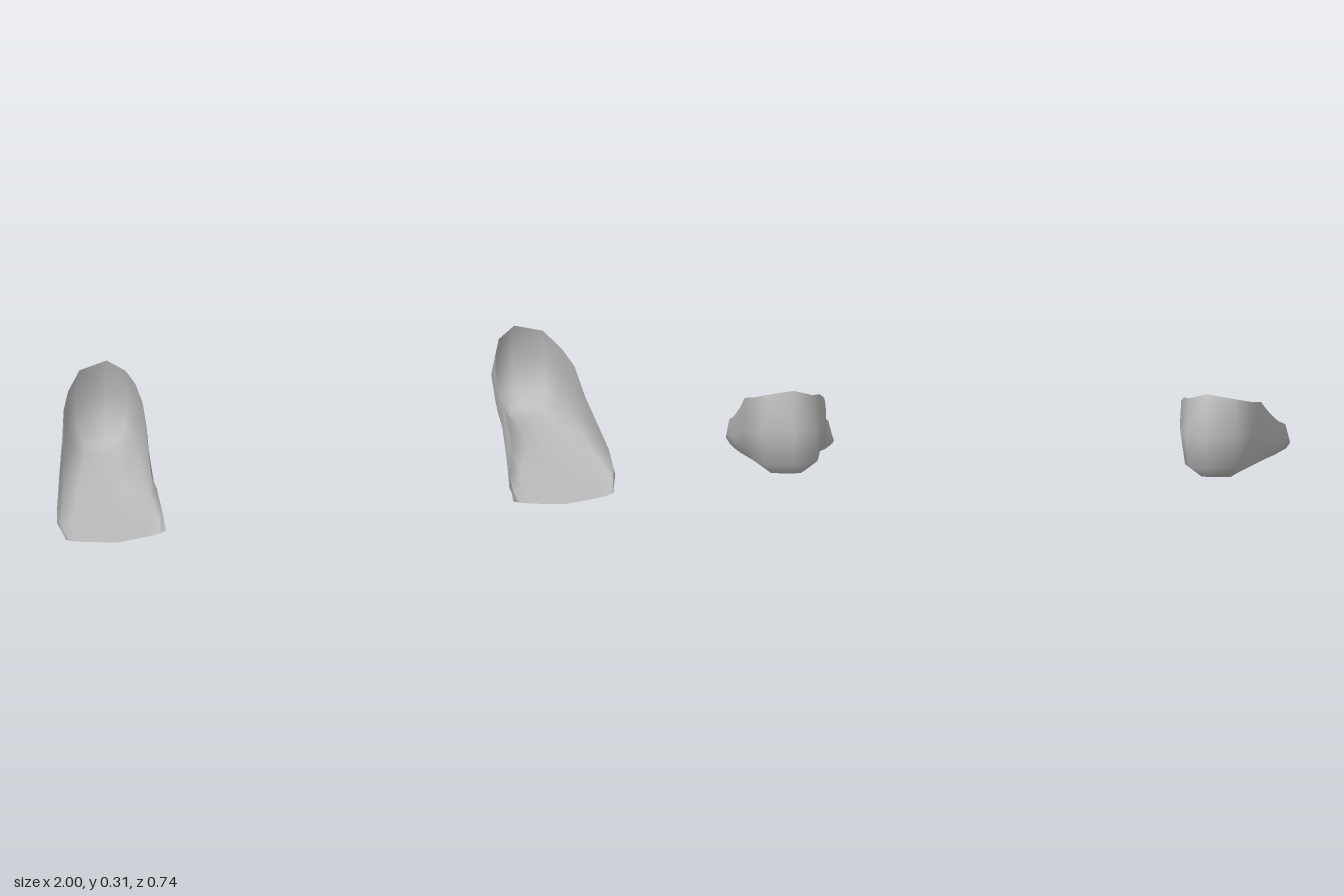
import * as THREE from 'three';

// Stations around the left shell, from inner front, around the heel, to outer front:
// rim x, y, z, | side wall x, y, z, | sole edge x, z
const STATIONS = [
  [0.62, 0.006, 0.33, 0.63, 0.004, 0.33, 0.69, 0.345],
  [0.625, 0.05, 0.245, 0.62, 0.015, 0.25, 0.67, 0.25],
  [0.635, 0.105, 0.2, 0.625, 0.04, 0.19, 0.67, 0.19],
  [0.645, 0.12, 0.14, 0.63, 0.06, 0.12, 0.68, 0.12],
  [0.64, 0.185, 0.02, 0.632, 0.12, 0.01, 0.72, 0.01],
  [0.632, 0.205, -0.05, 0.628, 0.13, -0.06, 0.73, -0.07],
  [0.632, 0.247, -0.14, 0.628, 0.16, -0.15, 0.72, -0.15],
  [0.645, 0.275, -0.22, 0.635, 0.16, -0.26, 0.7, -0.23],
  [0.668, 0.285, -0.295, 0.655, 0.16, -0.325, 0.71, -0.27],
  [0.73, 0.308, -0.338, 0.725, 0.165, -0.372, 0.745, -0.285],
  [0.83, 0.288, -0.32, 0.842, 0.16, -0.345, 0.815, -0.275],
  [0.885, 0.262, -0.23, 0.888, 0.14, -0.25, 0.83, -0.21],
  [0.915, 0.245, -0.14, 0.918, 0.13, -0.15, 0.85, -0.14],
  [0.935, 0.19, -0.02, 0.947, 0.09, -0.02, 0.88, -0.02],
  [0.965, 0.135, 0.09, 0.97, 0.06, 0.09, 0.91, 0.1],
  [0.985, 0.105, 0.2, 0.996, 0.05, 0.22, 0.94, 0.2],
  [0.995, 0.05, 0.245, 1.0, 0.03, 0.25, 0.94, 0.25],
  [0.98, 0.006, 0.33, 0.975, 0.004, 0.33, 0.92, 0.345],
];
const LEVELS = 5;

// Open scoop: each station runs from rim, down the wall, round the corner to the sole's centre line
function shellGeometry(side) {
  const positions = [];
  const index = [];
  STATIONS.forEach(([rx, ry, rz, wx, wy, wz, sx, sz], i) => {
    const atFront = i === 0 || i === STATIONS.length - 1;
    const cz = atFront ? 0.372 : Math.max(sz, -0.2);
    const cy = atFront ? 0.004 : 0;
    const corner = [0.75 * wx + 0.25 * sx, 0.25 * wy, 0.75 * wz + 0.25 * sz];
    const column = [[rx, ry, rz], [wx, wy, wz], corner, [sx, 0, sz], [0.785 + 0.04 * cz, cy, cz]];
    for (const [x, y, z] of column) positions.push(side * x, y, z);
  });
  for (let i = 0; i < STATIONS.length - 1; i++) {
    for (let j = 0; j < LEVELS - 1; j++) {
      const a = i * LEVELS + j;
      const b = a + LEVELS;
      // Mirroring reverses the corner order
      if (side > 0) index.push(a, b, a + 1, b, b + 1, a + 1);
      else index.push(a, a + 1, b, b, a + 1, b + 1);
    }
  }
  const geometry = new THREE.BufferGeometry();
  geometry.setAttribute('position', new THREE.Float32BufferAttribute(positions, 3));
  geometry.setIndex(index);
  geometry.computeVertexNormals();
  return geometry;
}

export function createModel() {
  const group = new THREE.Group();
  group.name = 'footShells';
  const grey = new THREE.MeshStandardMaterial({ color: 0xbcbcbc, side: THREE.DoubleSide });
  grey.name = 'grey';

  for (const [name, side] of [['leftFootShell', 1], ['rightFootShell', -1]]) {
    const shell = new THREE.Mesh(shellGeometry(side), grey);
    shell.name = name;
    group.add(shell);
  }
  return group;
}
